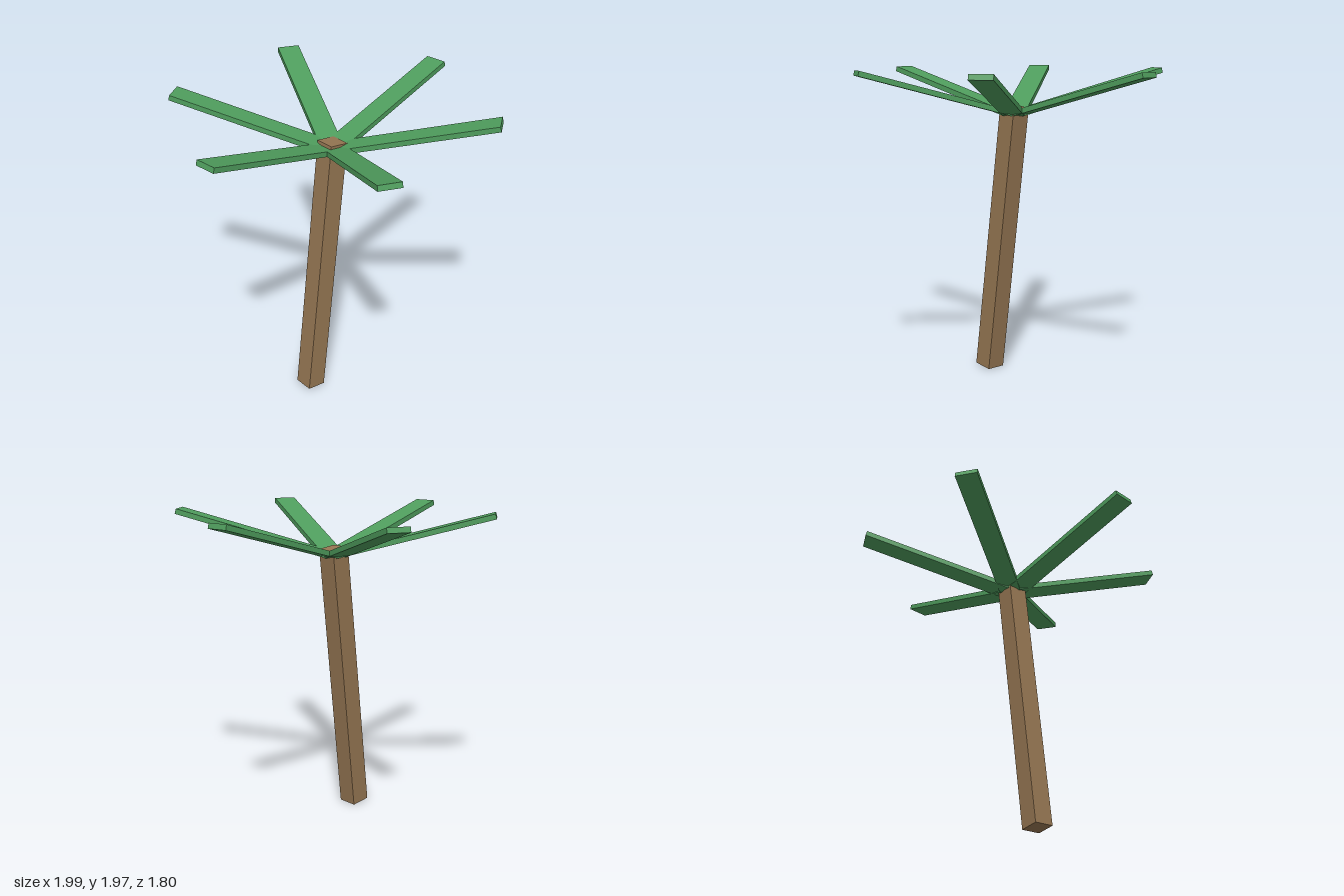
import * as THREE from 'three';

export function createModel() {
  const model = new THREE.Group();
  const bark = new THREE.MeshStandardMaterial({ color: 0x957652 });
  bark.name = 'bark brown';
  const leafGreen = new THREE.MeshStandardMaterial({ color: 0x4f9d5d });
  leafGreen.name = 'leaf green';

  // Leaning square trunk, twisted slightly about its own axis
  const foot = new THREE.Vector3(-0.218, 0.009, 0);
  const top = new THREE.Vector3(0, 1.735, 0);
  const trunk = new THREE.Mesh(
    new THREE.BoxGeometry(0.127, foot.distanceTo(top), 0.127), bark);
  trunk.name = 'trunk';
  trunk.position.copy(foot).add(top).multiplyScalar(0.5);
  trunk.rotation.set(0, -0.12, -Math.atan2(0.218, 1.726), 'ZYX');
  model.add(trunk);

  // Six flat fronds rising outwards from the crown
  const frondGeometry = new THREE.BoxGeometry(1, 0.033, 0.14);
  frondGeometry.rotateZ(THREE.MathUtils.degToRad(15));
  frondGeometry.translate(0.51, 1.823, 0);
  for (let i = 0; i < 6; i++) {
    const frond = new THREE.Mesh(frondGeometry, leafGreen);
    frond.name = `frond${i + 1}`;
    frond.rotation.y = i * Math.PI / 3;
    model.add(frond);
  }
  return model;
}
